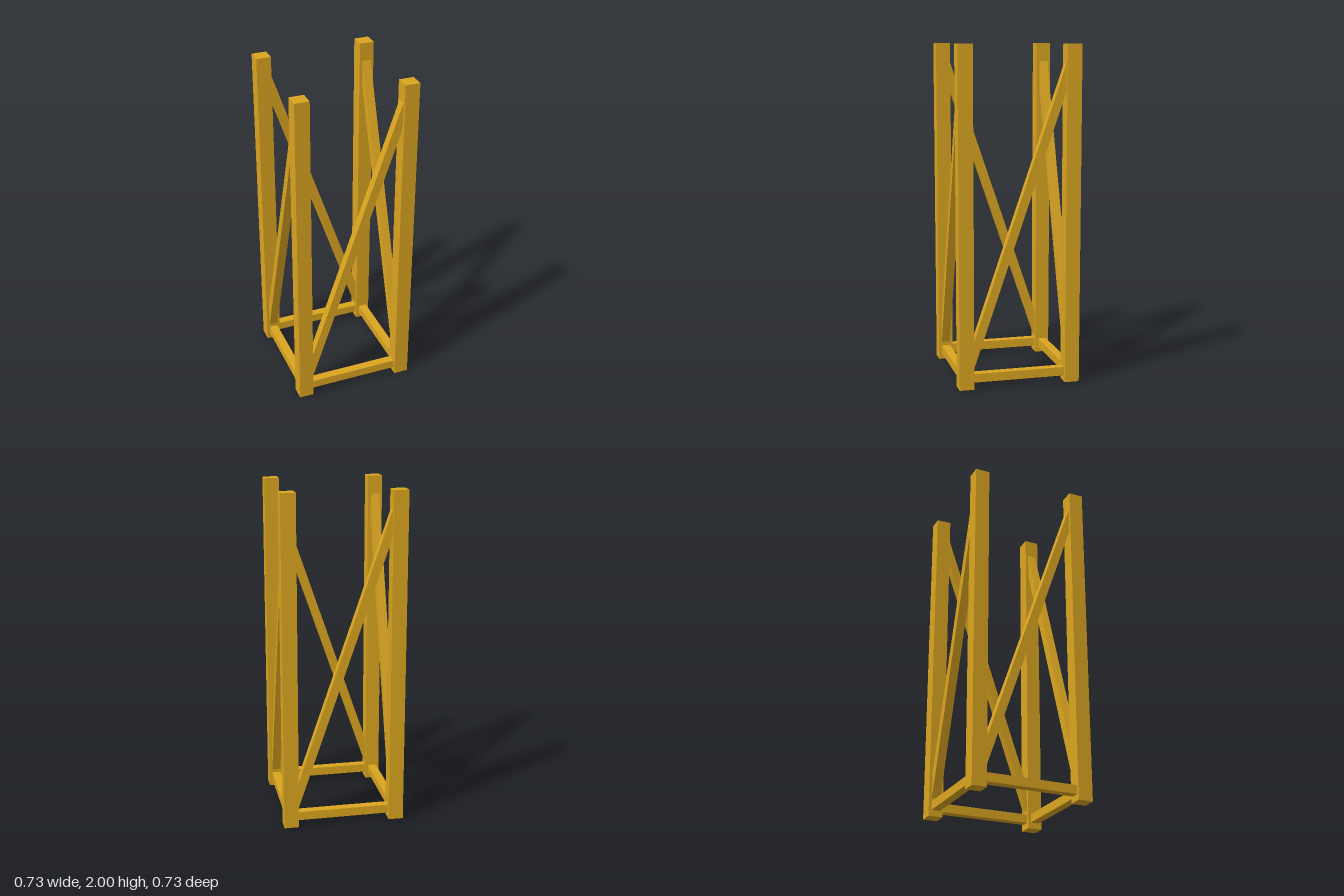
import * as THREE from 'three';

const HALF = 0.32;   // post centre from the axis
const POST = 0.088;  // post thickness
const BAR = 0.052;   // rail and brace thickness
const RAIL_Y = 0.063;

export function createModel() {
  const model = new THREE.Group();
  model.name = 'tower';
  const wood = new THREE.MeshStandardMaterial({ color: 0xdaa520 });
  wood.name = 'golden wood';

  const postGeo = new THREE.BoxGeometry(POST, 2, POST);
  const railGeo = new THREE.BoxGeometry(2 * HALF, BAR, BAR);

  // The brace rises from the rail at one post to near the top of the next
  const rise = 2 * (1 - RAIL_Y);
  const braceGeo = new THREE.BoxGeometry(Math.hypot(2 * HALF, rise), BAR, BAR);

  const add = (parent, name, geometry, x, y, z) => {
    const mesh = new THREE.Mesh(geometry, wood);
    mesh.name = name;
    mesh.position.set(x, y, z);
    parent.add(mesh);
    return mesh;
  };

  // Four identical sides, each a post, a bottom rail and one diagonal brace
  ['front', 'left', 'back', 'right'].forEach((label, i) => {
    const side = new THREE.Group();
    side.name = label + 'Side';
    add(side, 'cornerPost', postGeo, HALF, 1, HALF);
    add(side, 'bottomRail', railGeo, 0, RAIL_Y, HALF);
    const brace = add(side, 'diagonalBrace', braceGeo, 0, 1, HALF);
    brace.rotation.z = Math.atan2(rise, 2 * HALF);
    side.rotation.y = i * Math.PI / 2;
    model.add(side);
  });

  return model;
}
